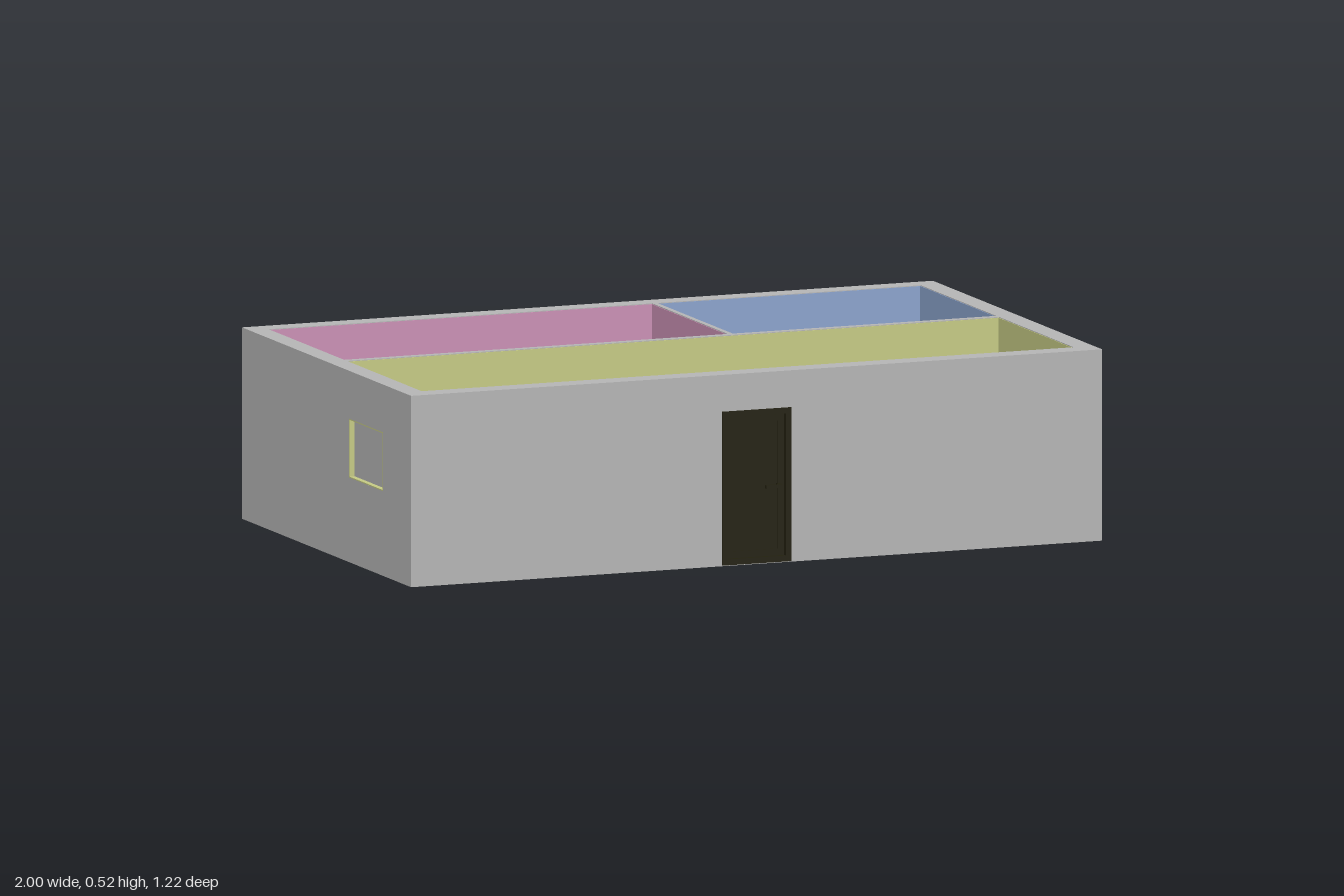
import * as THREE from 'three';

const mat = (name, color) => {
  const m = new THREE.MeshStandardMaterial({ color });
  m.name = name;
  return m;
};

export function createModel() {
  const house = new THREE.Group();
  house.name = 'house';
  const grey = mat('wall grey', 0xb4b4b4);
  const yellow = mat('living room yellow', 0xc4c983);
  const pink = mat('bedroom pink', 0xc98fb3);
  const blue = mat('bathroom blue', 0x8aa2cb);
  const dark = mat('front door dark olive', 0x22200f);
  const brown = mat('inner door brown', 0x644640);
  const H = 0.52;

  // Upright slab facing 'z' or 'x': rect and holes are [u0, u1, y0, y1],
  // where u is the horizontal coordinate along the slab; d0..d1 is its depth.
  function panel(name, material, axis, rect, d0, d1, holes = [], parent = house) {
    const corners = ([a, b, y0, y1]) => {
      const [l, r] = axis === 'x' ? [-b, -a] : [a, b];
      return [[l, y0], [r, y0], [r, y1], [l, y1]].map(p => new THREE.Vector2(...p));
    };
    const shape = new THREE.Shape(corners(rect));
    for (const h of holes) shape.holes.push(new THREE.Path(corners(h)));
    const geo = new THREE.ExtrudeGeometry(shape, { depth: Math.abs(d1 - d0), bevelEnabled: false });
    geo.translate(0, 0, Math.min(d0, d1));
    if (axis === 'x') geo.rotateY(Math.PI / 2);
    const mesh = new THREE.Mesh(geo, material);
    mesh.name = name;
    parent.add(mesh);
  }
  const inset = ([a, b, c, d], t) => [a + t, b - t, c + t, d - t];
  const ring = (name, m, axis, rect, t, d0, d1, parent) =>
    panel(name, m, axis, rect, d0, d1, [inset(rect, t)], parent);

  // Openings
  const frontDoor = [-0.1, 0.1, 0.002, 0.42];
  const pinkDoor = [-0.06, 0.11, 0.002, 0.42];
  const blueDoor = [0.225, 0.405, 0.002, 0.42];
  const pinkWindow = [-0.595, -0.19, 0.18, 0.42];
  const blueWindow = [0.505, 0.627, 0.295, 0.415];
  const eastWindow = [0.03, 0.51, 0.18, 0.42];
  const westWindow = [0.15, 0.39, 0.23, 0.39];

  // Room limits
  const X0 = -0.945, X1 = 0.942, ZB = -0.555, ZF = 0.53;
  const M0 = -0.02, M1 = 0, P0 = 0.165, P1 = 0.18;

  // Structural walls
  panel('frontWall', grey, 'z', [-1, 1, 0, H], ZF, 0.59, [frontDoor]);
  panel('backWall', grey, 'z', [-1, 1, 0, H], -0.61, ZB, [pinkWindow, blueWindow]);
  panel('leftWall', grey, 'x', [ZB, ZF, 0, H], X1, 1, [eastWindow]);
  panel('rightWall', grey, 'x', [ZB, ZF, 0, H], -1, X0, [westWindow]);
  panel('middleWall', grey, 'z', [X0, X1, 0, H], M0, M1, [pinkDoor, blueDoor]);
  panel('dividerWall', grey, 'x', [ZB, M0, 0, H], P0, P1);

  // Coloured floor and thin wall lining of each room
  function room(name, m, x0, x1, z0, z1, { back = [], front = [], left = [], right = [] }) {
    const g = new THREE.Group();
    g.name = name;
    const t = 0.002;
    const floor = new THREE.Mesh(new THREE.BoxGeometry(x1 - x0, 0.006, z1 - z0), m);
    floor.name = 'floor';
    floor.position.set((x0 + x1) / 2, 0.003, (z0 + z1) / 2);
    g.add(floor);
    panel('backLining', m, 'z', [x0, x1, 0, H - t], z0, z0 + t, back, g);
    panel('frontLining', m, 'z', [x0, x1, 0, H - t], z1 - t, z1, front, g);
    panel('rightLining', m, 'x', [z0, z1, 0, H - t], x0, x0 + t, right, g);
    panel('leftLining', m, 'x', [z0, z1, 0, H - t], x1 - t, x1, left, g);
    house.add(g);
  }
  room('livingRoom', yellow, X0, X1, M1, ZF,
    { back: [pinkDoor, blueDoor], front: [frontDoor], left: [eastWindow], right: [westWindow] });
  room('bedroom', pink, X0, P0, ZB, M0, { back: [pinkWindow], front: [pinkDoor] });
  room('bathroom', blue, P1, X1, ZB, M0, { back: [blueWindow], front: [blueDoor] });

  // Window: coloured reveal, blind outer pane, stepped inner frame and a handle
  function windowUnit(name, axis, rect, outer, inner, reveal, handleU) {
    const g = new THREE.Group();
    g.name = name;
    const at = t => outer + (inner - outer) * t;
    const hole = inset(rect, 0.003);
    const midY = (rect[2] + rect[3]) / 2;
    ring('reveal', reveal, axis, rect, 0.003, at(0.001), at(1.04), g);
    panel('pane', grey, axis, hole, at(0.27), at(0.45), [], g);
    ring('frame', grey, axis, hole, 0.016, at(0.45), at(0.9), g);
    ring('sash', grey, axis, inset(hole, 0.022), 0.016, at(0.45), at(0.75), g);
    panel('handle', grey, axis, [handleU - 0.004, handleU + 0.004, midY - 0.02, midY + 0.005],
      at(0.7), at(1.15), [], g);
    house.add(g);
  }
  windowUnit('bedroomWindow', 'z', pinkWindow, -0.61, ZB, pink, -0.565);
  windowUnit('bathroomWindow', 'z', blueWindow, -0.61, ZB, blue, 0.597);
  windowUnit('largeSideWindow', 'x', eastWindow, 1, X1, yellow, 0.06);
  windowUnit('smallSideWindow', 'x', westWindow, -1, X0, yellow, 0.36);

  // Door: frame, recessed leaf with raised border, lever handle on both sides
  function door(name, m, rect, z0, z1, recess, handleX, reach) {
    const g = new THREE.Group();
    g.name = name;
    const l0 = z0 + recess, l1 = z1 - recess;
    ring('frame', m, 'z', rect, 0.016, z0 - 0.003, z1 + 0.003, g);
    const leaf = inset(rect, 0.016);
    panel('leaf', m, 'z', leaf, l0, l1, [], g);
    ring('leafBorder', m, 'z', inset(leaf, 0.002), 0.017, l0 - 0.003, l1 + 0.003, g);
    for (const [face, tip, s] of [[l0, z0 - reach, 1], [l1, z1 + reach, -1]]) {
      panel('handleStem', m, 'z', [handleX + 0.04, handleX + 0.048, 0.206, 0.215], face, tip, [], g);
      panel('handleLever', m, 'z', [handleX, handleX + 0.04, 0.206, 0.215], tip, tip + s * 0.008, [], g);
    }
    house.add(g);
  }
  door('frontDoor', dark, frontDoor, ZF, 0.59, 0.01, 0.02, 0.02);
  door('bedroomDoor', brown, pinkDoor, M0, M1, 0.004, 0.042, 0.018);
  door('bathroomDoor', brown, blueDoor, M0, M1, 0.004, 0.328, 0.018);

  return house;
}
